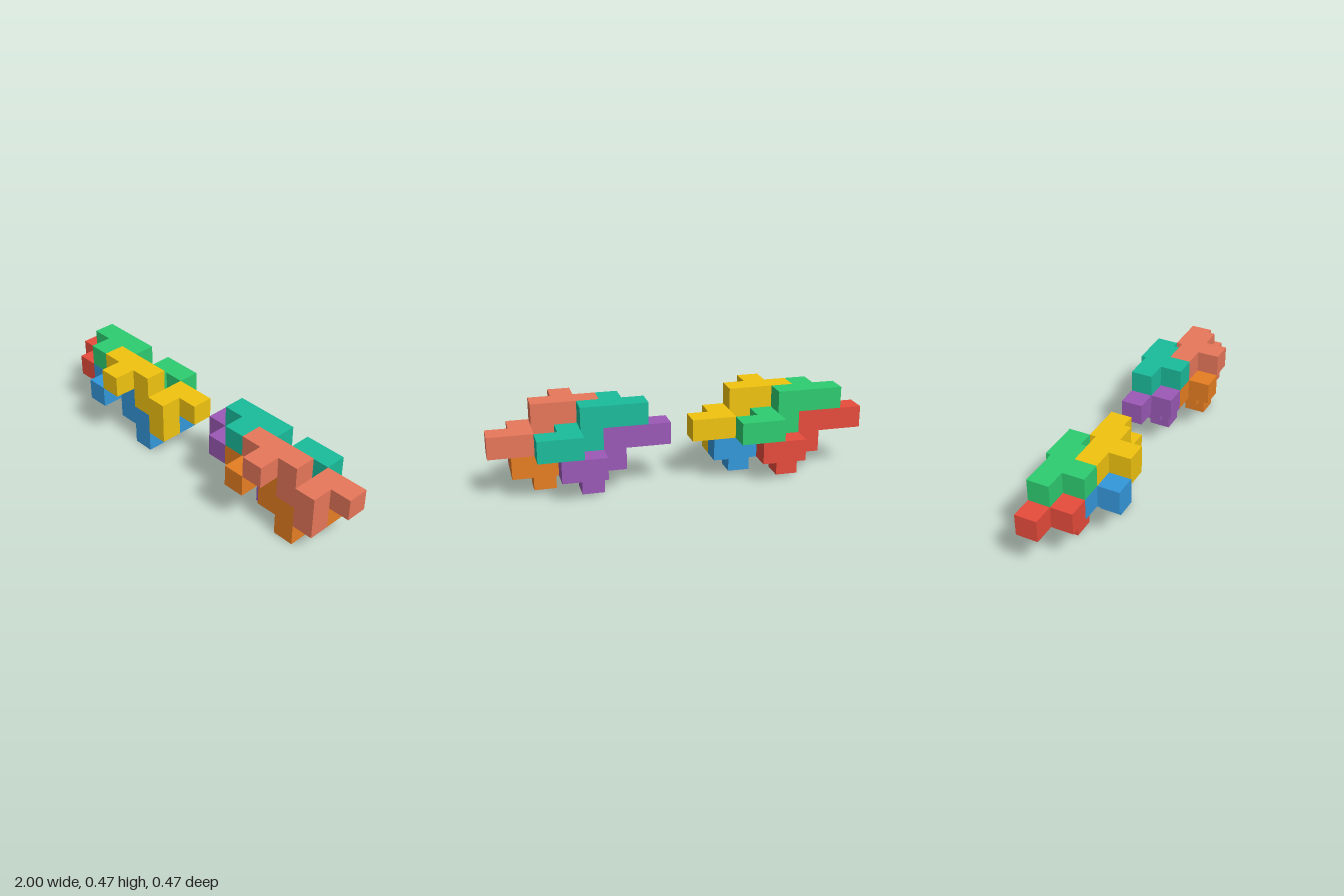
import * as THREE from 'three';
import { mergeGeometries } from 'three/addons/utils/BufferGeometryUtils.js';

const U = 2 / 17; // edge of one cube

// Cubes of one puzzle piece [x, y, z], relative to the first cube of its bar
const CELLS = [
  [0, 0, 0], [1, 0, 0], [2, 0, 0], // bar
  [1, 0, 1],                       // front nub
  [2, -1, 0], [3, -1, 0],          // step down
  [3, -2, 0],                      // foot
  [3, -1, -1], [4, -1, -1],        // back hook
];

const SIDES = [[1, 0, 0], [-1, 0, 0], [0, 1, 0], [0, -1, 0], [0, 0, 1], [0, 0, -1]];

// Outer skin of the piece: one square for each cube side without a neighbour
function pieceGeometry() {
  const filled = new Set(CELLS.map(String));
  const front = new THREE.Vector3(0, 0, 1);
  const faces = [];
  for (const cell of CELLS) {
    for (const side of SIDES) {
      if (filled.has(String(cell.map((c, a) => c + side[a])))) continue;
      const normal = new THREE.Vector3(...side);
      const face = new THREE.PlaneGeometry(U, U);
      face.applyQuaternion(new THREE.Quaternion().setFromUnitVectors(front, normal));
      const centre = new THREE.Vector3(...cell).multiplyScalar(U).addScaledVector(normal, U / 2);
      face.translate(centre.x, centre.y, centre.z);
      faces.push(face);
    }
  }
  return mergeGeometries(faces);
}

// Where the four interlocking pieces of a cluster start, in cubes
const PLACES = [
  { name: 'upperFrontPiece', at: [3, 3, 2] },
  { name: 'upperBackPiece', at: [1, 3, 1] },
  { name: 'lowerFrontPiece', at: [2, 2, 2] },
  { name: 'lowerBackPiece', at: [0, 2, 1] },
];

const CLUSTERS = [
  { name: 'rightCluster', shift: 0, colors: [0xf1c40f, 0x2ecc71, 0x3498db, 0xe74c3c] },
  { name: 'leftCluster', shift: 9, colors: [0xe7775a, 0x1abc9c, 0xe67e22, 0x9b59b6] },
];

export function createModel() {
  const model = new THREE.Group();
  model.name = 'interlockingCubePieces';
  const geometry = pieceGeometry();

  for (const { name, shift, colors } of CLUSTERS) {
    const cluster = new THREE.Group();
    cluster.name = name;
    cluster.position.x = shift * U;
    PLACES.forEach((place, i) => {
      const [x, y, z] = place.at;
      const piece = new THREE.Mesh(geometry, new THREE.MeshStandardMaterial({ color: colors[i] }));
      piece.name = place.name;
      piece.position.set((x - 8) * U, (y + 0.5) * U, (z - 1.5) * U);
      cluster.add(piece);
    });
    model.add(cluster);
  }
  return model;
}
